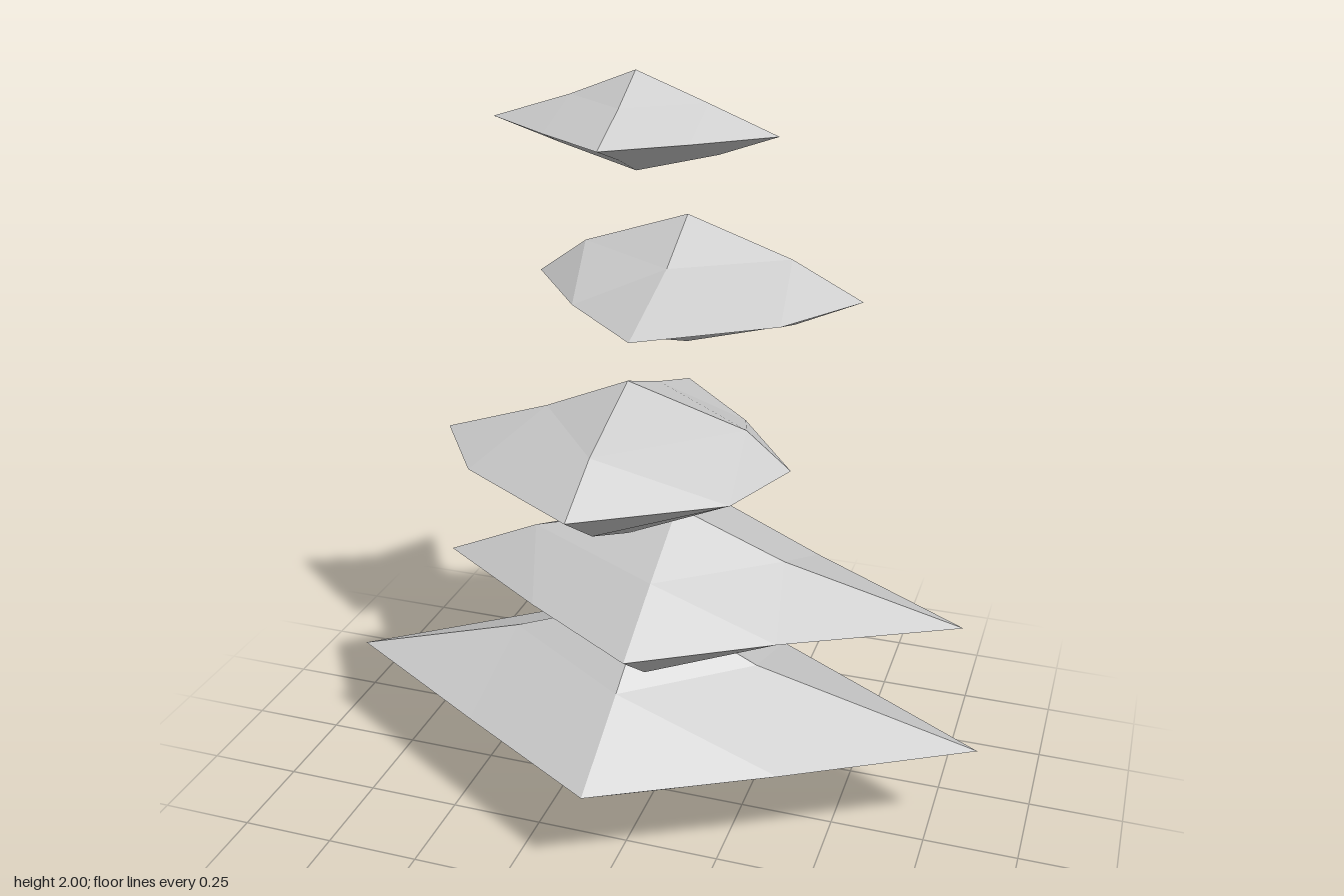
import * as THREE from 'three';

// Each stone is a once-subdivided, irregular octahedron. Distances are from its centre:
// x [left, right], y [down, up], z [back, front] reach the six tips;
// side / face are the outward knuckles below then above the rim;
// rim holds the x of the four corner knuckles, back pair first, and back their depth share.
const stones = [
  { name: 'baseStone', x: [0.85, 0.895], y: [0.307, 0.288], z: [0.578, 0.51],
    side: [0.355, 0.395, 0.375, 0.305], face: [0.3, 0.27, 0.285, 0.25], rim: [0.375, 0.29, 0.405, 0.435], back: 0.65 },
  { name: 'secondStone', x: [0.63, 0.735], y: [0.229, 0.218], z: [0.46, 0.417],
    side: [0.28, 0.263, 0.386, 0.28], face: [0.275, 0.26, 0.315, 0.215], rim: [0.28, 0.31, 0.31, 0.32], back: 0.59 },
  { name: 'middleStone', x: [0.48, 0.41], y: [0.229, 0.181], z: [0.507, 0.435],
    side: [0.302, 0.262, 0.212, 0.299], face: [0.23, 0.26, 0.24, 0.27], rim: [0.225, 0.225, 0.325, 0.325], back: 0.53 },
  { name: 'fourthStone', x: [0.38, 0.432], y: [0.145, 0.175], z: [0.32, 0.433],
    side: [0.27, 0.27, 0.26, 0.258], face: [0.19, 0.195, 0.19, 0.163], rim: [0.225, 0.258, 0.21, 0.29], back: 0.6 },
  { name: 'topStone', x: [0.355, 0.34], y: [0.103, 0.129], z: [0.322, 0.263],
    side: [0.185, 0.199, 0.16, 0.173], face: [0.165, 0.12, 0.117, 0.12], rim: [0.13, 0.125, 0.175, 0.17], back: 0.36 },
];

function stoneGeometry({ x, y, z, side, face, rim, back }) {
  const pos = [];
  // Four triangles for each of the eight octants
  for (let i = 0; i < 2; i++) for (let j = 0; j < 2; j++) for (let k = 0; k < 2; k++) {
    const sign = [2 * i - 1, 2 * j - 1, 2 * k - 1];
    const at = (...p) => p.map((v, n) => v * sign[n]);
    const X = at(x[i], 0, 0), Y = at(0, y[j], 0), Z = at(0, 0, z[k]);
    const XY = at(side[i + 2 * j], y[j] / 2, 0);
    const YZ = at(0, y[j] / 2, face[k + 2 * j]);
    const ZX = at(rim[i + 2 * k], 0, z[k] * (k ? 0.53 : back));
    const flip = sign[0] * sign[1] * sign[2] < 0; // mirrored octants reverse their winding
    for (const [p, q, r] of [[X, XY, ZX], [XY, Y, YZ], [ZX, YZ, Z], [XY, YZ, ZX]]) {
      pos.push(...p, ...(flip ? r : q), ...(flip ? q : r));
    }
  }
  const geometry = new THREE.BufferGeometry();
  geometry.setAttribute('position', new THREE.Float32BufferAttribute(pos, 3));
  geometry.computeVertexNormals();
  return geometry;
}

export function createModel() {
  const group = new THREE.Group();
  group.name = 'stoneStack';
  const material = new THREE.MeshStandardMaterial({ color: 0xcccccc, flatShading: true });
  // Evenly spaced stones, staggered sideways and in depth
  stones.forEach((stone, i) => {
    const mesh = new THREE.Mesh(stoneGeometry(stone), material);
    mesh.name = stone.name;
    mesh.position.set(i % 2 ? 0.08 : -0.025, 0.307 + 0.391 * i, 0.07 * (i % 3));
    group.add(mesh);
  });
  return group;
}
